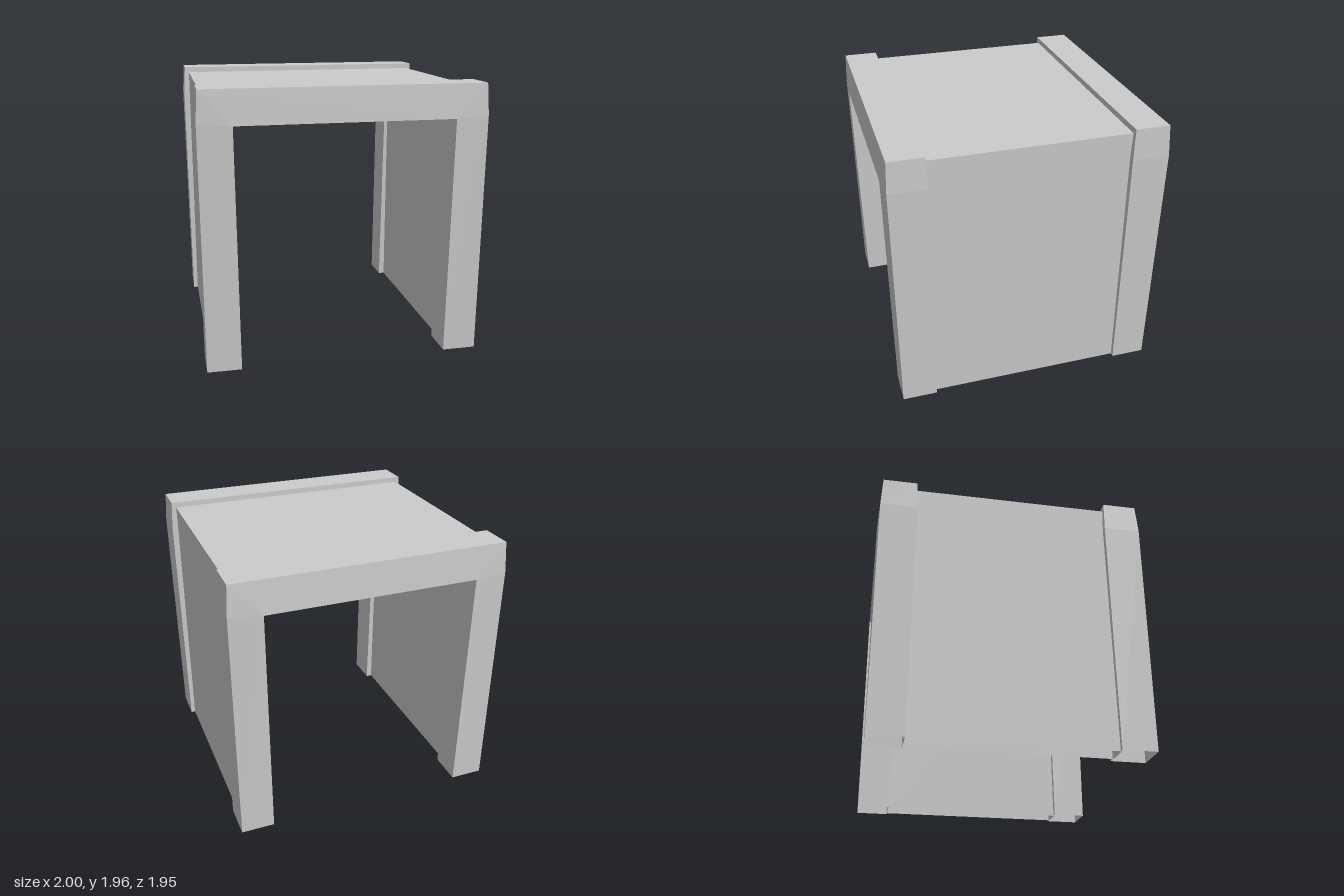
import * as THREE from 'three';

// Sweeps four-cornered cross-sections up one side, across the top and down the other.
// Each ring: outer front, inner front, inner back, outer back as [x, y, z]; the foot stays open.
function archGeometry(halfRings) {
  const mirrored = halfRings.map(r => r.map(([x, y, z]) => [-x, y, z])).reverse();
  const rings = [...halfRings, ...mirrored];
  const pos = [];
  for (let i = 0; i < rings.length - 1; i++) {
    const a = rings[i], b = rings[i + 1];
    for (let j = 0; j < 4; j++) {
      const k = (j + 1) % 4;
      for (const p of [a[k], a[j], b[j], a[k], b[j], b[k]]) pos.push(...p);
    }
  }
  const g = new THREE.BufferGeometry();
  g.setAttribute('position', new THREE.Float32BufferAttribute(pos, 3));
  g.computeVertexNormals();
  return g;
}

// One cross-section from its outer and inner [x, y, zFront, zBack]
const ring = ([ox, oy, of, ob], [ix, iy, inf, inb]) =>
  [[ox, oy, of], [ix, iy, inf], [ix, iy, inb], [ox, oy, ob]];

export function createModel() {
  const group = new THREE.Group();
  group.name = 'archedPassage';
  const grey = new THREE.MeshStandardMaterial({ color: 0xcccccc, side: THREE.DoubleSide });
  grey.name = 'lightGrey';

  // End frames: slightly flared legs and a bevelled lintel
  const innerCorner = [0.765, 1.72, 0.975, 0.70];
  const frame = archGeometry([
    ring([0.987, 0, 0.957, 0.708], [0.745, 0, 0.957, 0.708]),
    ring([1.0, 1.74, 0.966, 0.70], innerCorner),
    ring([0.987, 1.96, 0.955, 0.708], innerCorner),
  ]);
  ['frontFrame', 'backFrame'].forEach((name, i) => {
    const m = new THREE.Mesh(frame, grey);
    m.name = name;
    m.rotation.y = i * Math.PI;
    group.add(m);
  });

  // Hollow walls and roof between the frames
  const tunnel = new THREE.Mesh(archGeometry([
    ring([0.955, 0, 0.715, -0.715], [0.79, 0, 0.715, -0.715]),
    ring([0.955, 1.92, 0.715, -0.715], [0.79, 1.75, 0.715, -0.715]),
  ]), grey);
  tunnel.name = 'wallsAndRoof';
  group.add(tunnel);
  return group;
}
